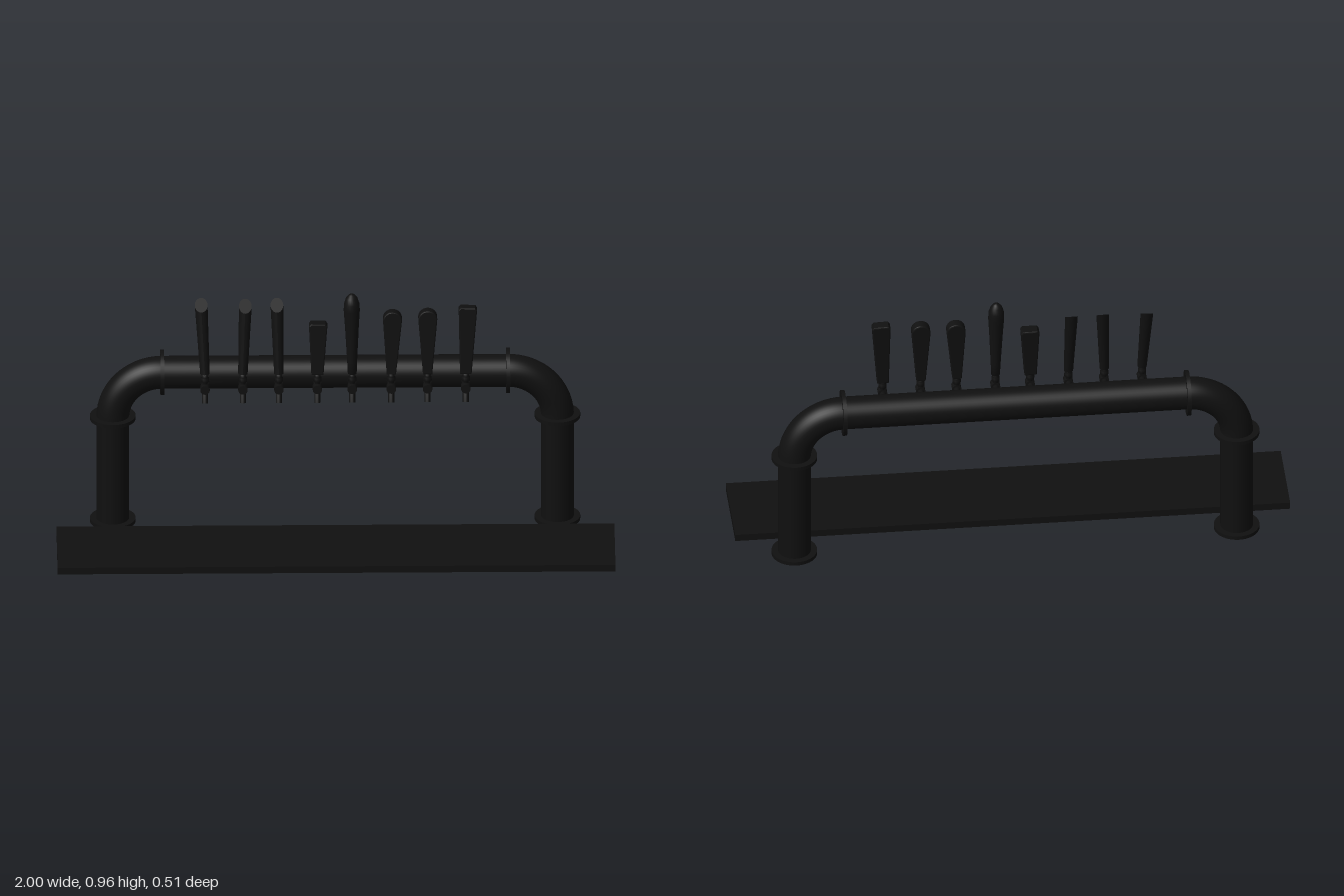
import * as THREE from 'three';

const black = new THREE.MeshStandardMaterial({ color: 0x101010 });
const PIPE_R = 0.059, PIPE_Y = 0.594, PIPE_Z = -0.173;
const LEG_X = 0.797, BEND_X = 0.62, BEND_Y = 0.417;

function add(parent, name, geometry, x = 0, y = 0, z = 0) {
  const mesh = new THREE.Mesh(geometry, black);
  mesh.name = name;
  mesh.position.set(x, y, z);
  parent.add(mesh);
  return mesh;
}

const lathe = (points, segments = 24) =>
  new THREE.LatheGeometry(points.map(([r, y]) => new THREE.Vector2(r, y)), segments);

// Round stick that widens upwards, its top cut at a slant (high at the back)
function slantedStick(height, slope = 0.9) {
  const g = new THREE.CylinderGeometry(0.023, 0.017, height, 20);
  g.translate(0, height / 2, 0);
  const p = g.attributes.position;
  for (let i = 0; i < p.count; i++) {
    if (p.getY(i) > height / 2) p.setY(i, height - slope * (p.getZ(i) + 0.023));
  }
  g.computeVertexNormals();
  return g;
}

// Flat paddle outline with a square or domed top, extruded with a small bevel
function paddle(height, bottom, top, depth, domed) {
  const b = 0.004, w0 = bottom / 2 - b, w1 = top / 2 - b, h = height - b;
  const s = new THREE.Shape();
  s.moveTo(-w0, b);
  s.lineTo(w0, b);
  if (domed) {
    s.lineTo(w1, h - w1);
    s.absarc(0, h - w1, w1, 0, Math.PI, false);
  } else {
    s.lineTo(w1, h - 0.006);
    s.lineTo(w1 - 0.005, h);
    s.lineTo(-w1 + 0.005, h);
    s.lineTo(-w1, h - 0.006);
  }
  s.closePath();
  const g = new THREE.ExtrudeGeometry(s, {
    depth: depth - 2 * b, bevelThickness: b, bevelSize: b, bevelSegments: 2, curveSegments: 12,
  });
  return g.translate(0, 0, b - depth / 2);
}

// Slender turned handle with a swelling, rounded tip
const turned = (h) => lathe([[0, 0], [0.016, 0], [0.018, 0.05], [0.025, h * 0.6],
  [0.029, h * 0.8], [0.028, h * 0.88], [0.021, h * 0.95], [0.011, h * 0.99], [0, h]]);

// Tap body with its shank, collar, spout and lever stem
function makeFaucet() {
  const tap = new THREE.Group();
  tap.name = 'faucet';
  const shank = add(tap, 'shank', new THREE.CylinderGeometry(0.011, 0.011, 0.07, 16), 0, 0.59, -0.085);
  shank.rotation.x = Math.PI / 2;
  const nut = add(tap, 'shankNut', new THREE.CylinderGeometry(0.016, 0.016, 0.016, 16), 0, 0.59, -0.107);
  nut.rotation.x = Math.PI / 2;
  const collar = add(tap, 'collar', new THREE.CylinderGeometry(0.017, 0.017, 0.032, 20), 0, 0.591, -0.046);
  collar.rotation.x = Math.PI / 2;
  const path = new THREE.QuadraticBezierCurve3(
    new THREE.Vector3(0, 0.588, -0.086), new THREE.Vector3(0, 0.56, -0.068), new THREE.Vector3(0, 0.528, -0.054));
  add(tap, 'spout', new THREE.TubeGeometry(path, 8, 0.011, 12));
  const end = add(tap, 'spoutTip', new THREE.CircleGeometry(0.011, 12), 0, 0.528, -0.054);
  end.lookAt(0, 0.496, -0.04);
  add(tap, 'leverStem', lathe([[0.009, 0.59], [0.009, 0.614], [0.015, 0.617], [0.015, 0.63],
    [0.011, 0.634], [0.013, 0.65], [0, 0.65]], 16), 0, 0, -0.053);
  return tap;
}

export function createModel() {
  const model = new THREE.Group();
  model.name = 'tapTower';

  // Drip tray: top plate over a shallow open rim
  const tray = new THREE.Group();
  tray.name = 'dripTray';
  tray.position.z = 0.089;
  model.add(tray);
  add(tray, 'trayTop', new THREE.BoxGeometry(2, 0.012, 0.332), 0, 0.02, 0);
  for (const s of [-1, 1]) {
    add(tray, 'trayLongRim', new THREE.BoxGeometry(2, 0.016, 0.01), 0, 0.008, s * 0.161);
    add(tray, 'trayEndRim', new THREE.BoxGeometry(0.01, 0.016, 0.312), s * 0.995, 0.008, 0);
  }

  // Pipe arch
  const arch = new THREE.Group();
  arch.name = 'pipeArch';
  arch.position.z = PIPE_Z;
  model.add(arch);
  const bar = add(arch, 'crossPipe', new THREE.CylinderGeometry(PIPE_R, PIPE_R, 2 * BEND_X, 40), 0, PIPE_Y, 0);
  bar.rotation.z = Math.PI / 2;
  const flange = new THREE.CylinderGeometry(0.082, 0.082, 0.014, 40);
  for (const s of [-1, 1]) {
    add(arch, 'leg', new THREE.CylinderGeometry(PIPE_R, PIPE_R, BEND_Y, 40), s * LEG_X, BEND_Y / 2, 0);
    const bend = add(arch, 'elbow',
      new THREE.TorusGeometry(LEG_X - BEND_X, PIPE_R, 40, 24, Math.PI / 2), s * BEND_X, BEND_Y, 0);
    if (s < 0) bend.rotation.y = Math.PI;
    add(arch, 'baseFlange', flange, s * LEG_X, 0.007, 0);
    add(arch, 'legFlange', flange, s * LEG_X, BEND_Y, 0);
    add(arch, 'pipeFlange', flange, s * BEND_X, PIPE_Y, 0).rotation.z = Math.PI / 2;
  }

  // Taps: x, handle geometry, height, sideways lean and backward lean at the top
  const taps = [
    [-0.468, slantedStick(0.278), 0.278, -0.014, -0.048],
    [-0.332, slantedStick(0.276), 0.276, 0.01, -0.038],
    [-0.203, slantedStick(0.278), 0.278, -0.007, -0.042],
    [-0.065, paddle(0.197, 0.044, 0.066, 0.042, false), 0.197, 0.003, -0.015],
    [0.06, turned(0.312), 0.312, -0.002, -0.01],
    [0.2, paddle(0.243, 0.034, 0.068, 0.038, true), 0.243, 0.005, -0.015],
    [0.33, paddle(0.247, 0.034, 0.068, 0.038, true), 0.247, 0.001, -0.015],
    [0.467, paddle(0.256, 0.042, 0.066, 0.038, false), 0.256, 0.008, -0.02],
  ];
  for (const [x, geometry, height, side, back] of taps) {
    const tap = makeFaucet();
    tap.position.x = x;
    const handle = add(tap, 'tapHandle', geometry, 0, 0.645, -0.056);
    handle.rotation.set(back / height, 0, -side / height);
    model.add(tap);
  }
  return model;
}
